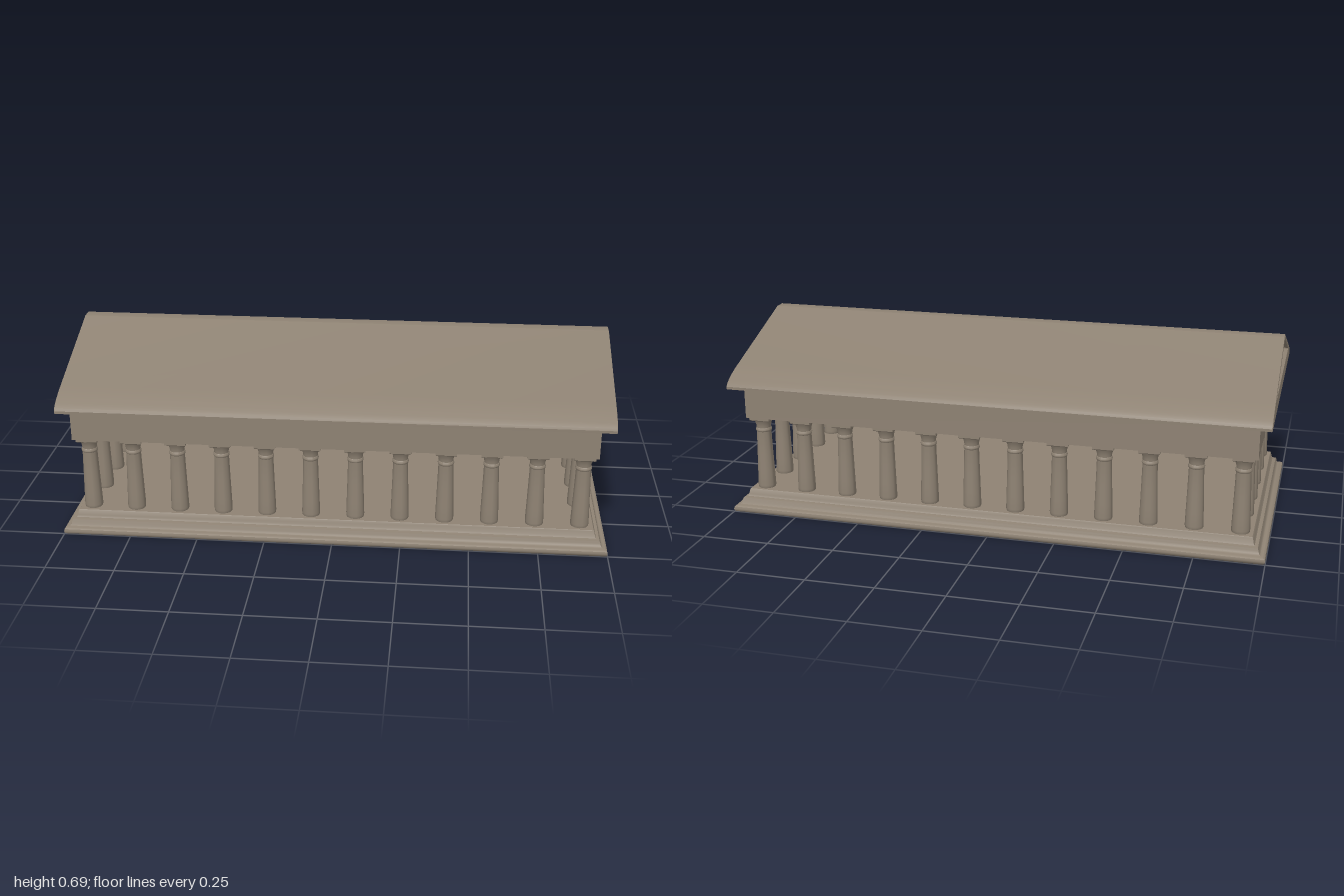
import * as THREE from 'three';
import { toCreasedNormals } from 'three/addons/utils/BufferGeometryUtils.js';

const stone = new THREE.MeshStandardMaterial({ color: 0x8e8273 });
stone.name = 'stone';

function add(parent, name, geometry, x = 0, y = 0, z = 0) {
  const mesh = new THREE.Mesh(geometry, stone);
  mesh.name = name;
  mesh.position.set(x, y, z);
  parent.add(mesh);
  return mesh;
}

// Rectangular moulding: stacked loops of [half depth, height], closed at both ends
function moulding(profile, extraX) {
  const pos = [];
  const index = [];
  for (const [d, y] of profile) {
    for (const [sx, sz] of [[1, 1], [1, -1], [-1, -1], [-1, 1]]) pos.push(sx * (d + extraX), y, sz * d);
  }
  const quad = (a, b, c, d) => index.push(a, b, c, a, c, d);
  for (let r = 0; r < profile.length - 1; r++) {
    for (let i = 0; i < 4; i++) {
      const a = r * 4 + i, b = r * 4 + (i + 1) % 4;
      quad(a, b, b + 4, a + 4);
    }
  }
  const t = (profile.length - 1) * 4;
  quad(t, t + 1, t + 2, t + 3);
  quad(3, 2, 1, 0);
  const g = new THREE.BufferGeometry();
  g.setAttribute('position', new THREE.Float32BufferAttribute(pos, 3));
  g.setIndex(index);
  return toCreasedNormals(g, 0.7);
}

// Mirrored outline from points on the +z half, listed bottom to top
function mirrored(half, Type = THREE.Shape) {
  const right = half.map(([u, y]) => new THREE.Vector2(u, y));
  const left = half.map(([u, y]) => new THREE.Vector2(-u, y)).reverse();
  return new Type([...right, ...left]);
}

// Extrude an outline along x, centred
function prism(shape, length, bevel) {
  const g = new THREE.ExtrudeGeometry(shape, {
    depth: length - 2 * bevel, bevelEnabled: bevel > 0, bevelThickness: bevel,
    bevelSize: bevel, bevelOffset: -bevel, bevelSegments: 2,
  });
  g.translate(0, 0, -(length - 2 * bevel) / 2);
  g.rotateY(Math.PI / 2);
  return toCreasedNormals(g, 0.5);
}

export function createModel() {
  const model = new THREE.Group();
  model.name = 'temple';

  // Stepped base with a rounded foot
  add(model, 'base', moulding([
    [0.497, 0], [0.502, 0.004], [0.504, 0.012], [0.502, 0.02], [0.495, 0.025],
    [0.485, 0.027], [0.48, 0.032], [0.478, 0.042], [0.475, 0.049], [0.463, 0.053],
    [0.459, 0.06], [0.455, 0.078], [0.453, 0.081],
  ], 0.496));

  // Columns around the edge
  const shaft = toCreasedNormals(new THREE.LatheGeometry([
    [0.031, 0.079], [0.033, 0.084], [0.0335, 0.092], [0.032, 0.14], [0.0295, 0.22],
    [0.027, 0.306], [0.0295, 0.309], [0.03, 0.314], [0.0285, 0.319], [0.0265, 0.321],
    [0.0275, 0.33], [0.031, 0.343], [0.036, 0.353],
  ].map(([r, y]) => new THREE.Vector2(r, y)), 24), 0.7);
  const abacus = moulding([[0.036, 0.352], [0.039, 0.355], [0.039, 0.366]], 0);
  const nx = 12, nz = 6, step = 0.164;
  for (let i = 0; i < nx; i++) {
    for (let j = 0; j < nz; j++) {
      if (i > 0 && i < nx - 1 && j > 0 && j < nz - 1) continue;
      const column = new THREE.Group();
      column.name = 'column';
      column.position.set((i - (nx - 1) / 2) * step - 0.002, 0, (j - (nz - 1) / 2) * step);
      add(column, 'shaft', shaft);
      add(column, 'abacus', abacus);
      model.add(column);
    }
  }

  // Beam block resting on the columns
  add(model, 'entablature', new THREE.BoxGeometry(1.904, 0.125, 0.91), -0.003, 0.428, 0);

  // Gabled roof with flared eaves and an opening at each gable
  const outline = mirrored([
    [0.5, 0.487], [0.5, 0.497], [0.495, 0.506], [0.48, 0.518], [0.46, 0.53],
    [0.43, 0.544], [0.395, 0.557], [0.03, 0.69], [0.022, 0.694],
  ]);
  const recess = [[0.355, 0.549], [0.355, 0.553], [0.025, 0.673]];
  outline.holes.push(mirrored(recess, THREE.Path));
  add(model, 'roof', prism(outline, 1.996, 0.003));

  // Recessed gable panels
  const panel = mirrored([[0.37, 0.542], [0.37, 0.555], [0.025, 0.68]]);
  add(model, 'gablePanel', prism(panel, 1.93, 0));

  return model;
}
